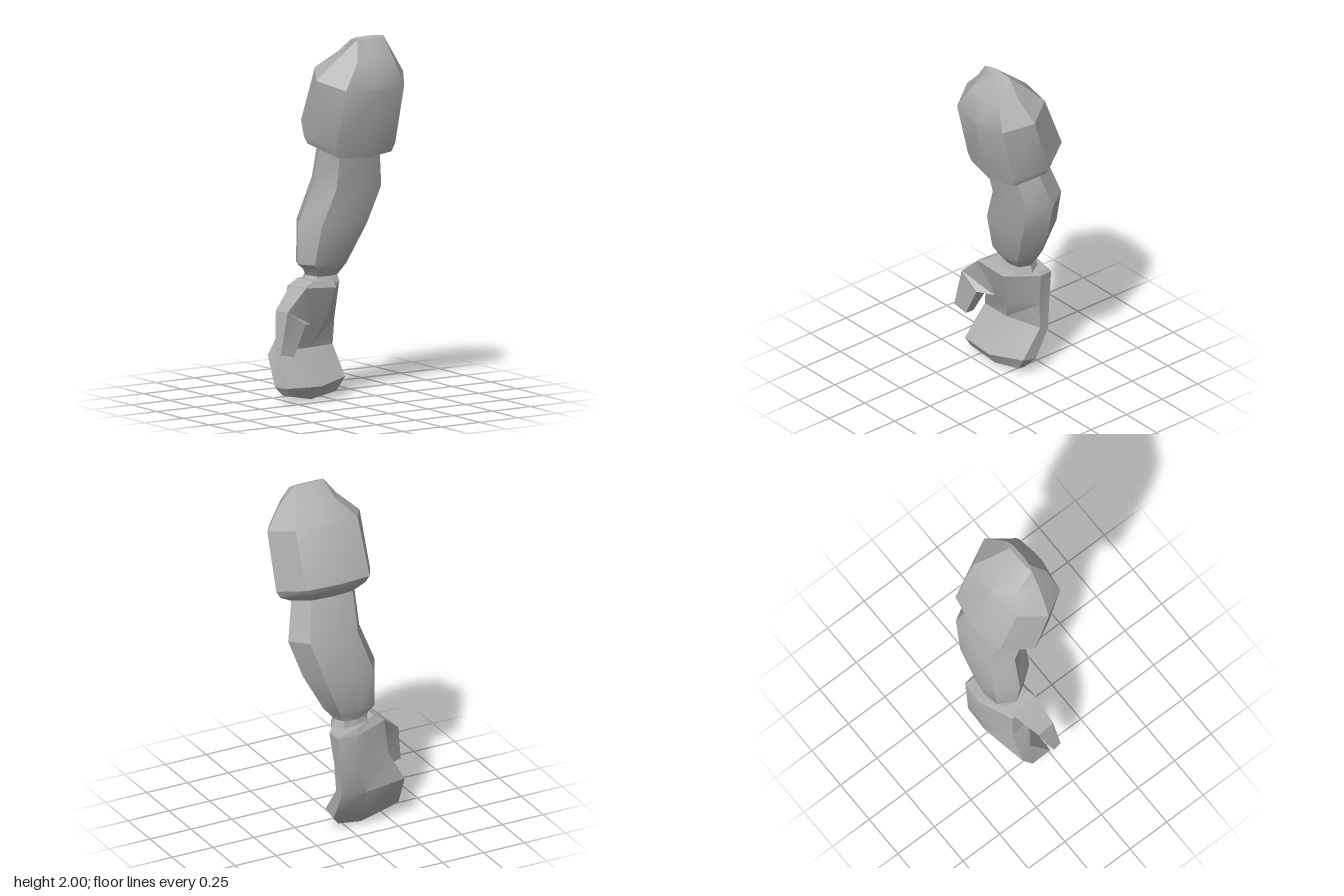
import * as THREE from 'three';
import { toCreasedNormals } from 'three/addons/utils/BufferGeometryUtils.js';

// Closed skin over rings of points, listed from top to bottom
function loft(ringsTopDown) {
  const rings = [...ringsTopDown].reverse();
  const n = rings[0].length;
  const pos = rings.flat(2);
  const index = [];
  for (let r = 0; r < rings.length - 1; r++) {
    for (let i = 0; i < n; i++) {
      const j = (i + 1) % n;
      const a = r * n + i, b = r * n + j, c = a + n, d = b + n;
      index.push(a, b, d, a, d, c);
    }
  }
  // End caps fan out from the ring centres
  [0, rings.length - 1].forEach((r, end) => {
    const centre = pos.length / 3;
    for (let k = 0; k < 3; k++) pos.push(rings[r].reduce((s, p) => s + p[k], 0) / n);
    for (let i = 0; i < n; i++) {
      const a = r * n + i, b = r * n + (i + 1) % n;
      if (end) index.push(centre, a, b);
      else index.push(centre, b, a);
    }
  });
  const g = new THREE.BufferGeometry();
  g.setAttribute('position', new THREE.Float32BufferAttribute(pos, 3));
  g.setIndex(index);
  return toCreasedNormals(g, 0.5);
}

// Tilted eight-sided ring from its side, front and back extents
const OCT = [[0, 1], [0.67, 0.83], [1, 0], [0.67, -0.83], [0, -1], [-0.67, -0.83], [-1, 0], [-0.67, 0.83]];
function octRing([xMin, xMax, zFront, yFront, zBack, yBack]) {
  return OCT.map(([u, v]) => [
    (xMin + xMax) / 2 + u * (xMax - xMin) / 2,
    (yFront + yBack) / 2 + v * (yFront - yBack) / 2,
    (zFront + zBack) / 2 + v * (zFront - zBack) / 2,
  ]);
}

export function createModel() {
  const group = new THREE.Group();
  const grey = new THREE.MeshStandardMaterial({ color: 0xb0b0b0 });
  grey.name = 'grey';
  const add = (name, rings) => {
    const mesh = new THREE.Mesh(loft(rings), grey);
    mesh.name = name;
    group.add(mesh);
  };

  // Shoulder cover with a ridge on top and a turned-in lip
  add('shoulderCover', [
    [0.01, 0.22, 0.135, 1.985, 0.105, 1.995],
    [-0.065, 0.285, 0.225, 1.87, 0.0, 1.915],
    [-0.19, 0.375, 0.26, 1.72, -0.1, 1.83],
    [-0.2, 0.375, 0.18, 1.39, -0.225, 1.525],
    [-0.175, 0.35, 0.165, 1.34, -0.21, 1.49],
    [-0.1, 0.28, 0.11, 1.34, -0.15, 1.42],
  ].map(octRing));

  // Bent arm narrowing to the wrist
  add('arm', [
    [-0.09, 0.27, 0.11, 1.42, -0.13, 1.48],
    [-0.1, 0.29, 0.1, 1.33, -0.16, 1.39],
    [-0.1, 0.335, 0.06, 1.15, -0.225, 1.2],
    [-0.18, 0.26, 0.035, 0.95, -0.255, 0.97],
    [-0.17, 0.14, -0.02, 0.74, -0.235, 0.74],
    [-0.13, 0.11, -0.035, 0.71, -0.22, 0.71],
    [-0.11, 0.085, -0.065, 0.67, -0.21, 0.68],
    [-0.13, 0.1, -0.05, 0.63, -0.22, 0.63],
  ].map(octRing));

  // Palm and curled mitten fingers
  add('hand', [
    [[-0.14, 0.66, -0.02], [0, 0.645, -0.03], [0.11, 0.635, -0.16], [0.11, 0.635, -0.235], [0, 0.645, -0.245], [-0.14, 0.66, -0.17]],
    [[-0.2, 0.63, 0], [0, 0.615, -0.01], [0.13, 0.615, -0.17], [0.12, 0.61, -0.25], [0, 0.61, -0.26], [-0.2, 0.62, -0.18]],
    [[-0.2, 0.43, -0.06], [-0.03, 0.42, -0.07], [0.105, 0.42, -0.18], [0.105, 0.42, -0.25], [0, 0.42, -0.257], [-0.22, 0.42, -0.19]],
    [[-0.28, 0.28, -0.12], [-0.1, 0.28, -0.12], [0.1, 0.27, -0.19], [0.1, 0.25, -0.245], [-0.05, 0.25, -0.25], [-0.315, 0.25, -0.2]],
    [[-0.315, 0.09, -0.01], [-0.1, 0.085, 0], [0.1, 0.11, -0.07], [0.1, 0.09, -0.16], [-0.1, 0.06, -0.15], [-0.315, 0.08, -0.13]],
    [[-0.29, 0.045, -0.03], [-0.1, 0.02, -0.04], [0.05, 0.035, -0.08], [0.05, 0.03, -0.12], [-0.1, 0, -0.1], [-0.29, 0.04, -0.09]],
  ]);

  // Thumb
  add('thumb', [
    [[-0.18, 0.645, -0.005], [-0.13, 0.42, -0.06], [-0.13, 0.42, -0.14], [-0.18, 0.635, -0.17]],
    [[-0.325, 0.51, 0.005], [-0.205, 0.43, 0], [-0.21, 0.43, -0.09], [-0.33, 0.51, -0.1]],
    [[-0.375, 0.285, 0.015], [-0.285, 0.265, 0.01], [-0.28, 0.265, -0.04], [-0.38, 0.28, -0.035]],
  ]);

  return group;
}
